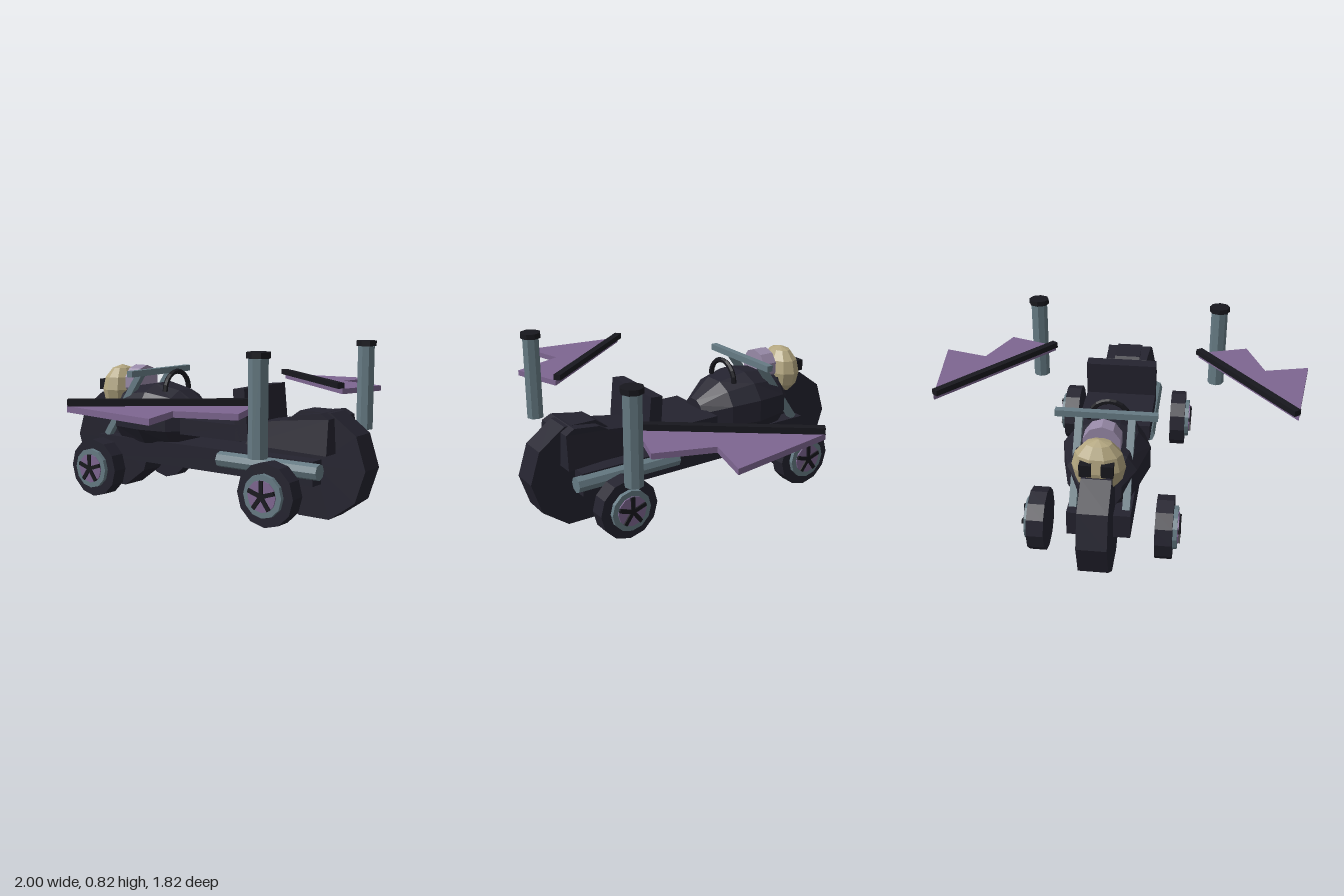
import * as THREE from 'three';

const mat = (name, color) => {
  const m = new THREE.MeshStandardMaterial({ color, flatShading: true });
  m.name = name;
  return m;
};

export function createModel() {
  const group = new THREE.Group();
  const black = mat('body black', 0x24232f);
  const dark = mat('trim black', 0x18181e);
  const steel = mat('blue steel', 0x667b84);
  const purple = mat('wing purple', 0x7e6691);
  const lilac = mat('lamp lilac', 0x988aa8);
  const bone = mat('bone', 0xb3a680);

  const add = (name, geo, material, x = 0, y = 0, z = 0, parent = group) => {
    const m = new THREE.Mesh(geo, material);
    m.name = name;
    m.position.set(x, y, z);
    parent.add(m);
    return m;
  };
  const box = (w, h, d) => new THREE.BoxGeometry(w, h, d);
  const cyl = (r, h, n) => new THREE.CylinderGeometry(r, r, h, n);
  const axle = (r, w, n) => cyl(r, w, n).rotateZ(Math.PI / 2);
  // box or rod stretched between two points, long side along local y
  const between = (name, geo, material, a, b) => {
    const m = add(name, geo, material);
    m.position.copy(a).lerp(b, 0.5);
    m.quaternion.setFromUnitVectors(new THREE.Vector3(0, 1, 0), b.clone().sub(a).normalize());
    return m;
  };
  // side outline given as [z, y], extruded across x
  const sideExtrude = (pts, width) =>
    new THREE.ExtrudeGeometry(new THREE.Shape(pts.map(p => new THREE.Vector2(...p))), { depth: width, bevelEnabled: false })
      .translate(0, 0, -width / 2).rotateY(-Math.PI / 2);

  // main wheels and chassis
  for (const s of [1, -1])
    add(s > 0 ? 'frontMainWheel' : 'rearMainWheel', axle(0.268, 0.14, 10), black, 0, 0.268, s * 0.642);
  add('chassis', box(0.3, 0.12, 1.36), black, 0, 0.24, 0);
  add('seat', box(0.37, 0.08, 0.37), black, 0, 0.4, 0.105);
  add('backrest', sideExtrude([[0.34, 0.37], [0.265, 0.36], [0.25, 0.615], [0.315, 0.62]], 0.37), black);

  // fender widening toward its end
  const fender = sideExtrude([[0.755, 0.335], [0.27, 0.335], [0.34, 0.45], [0.51, 0.475], [0.56, 0.505], [0.7, 0.525], [0.745, 0.5]], 2);
  const fp = fender.attributes.position;
  for (let i = 0; i < fp.count; i++) {
    const t = (fp.getZ(i) - 0.34) / 0.415;
    fp.setX(i, fp.getX(i) * (0.115 + 0.045 * t) * (fp.getY(i) > 0.4 ? 0.8 : 1));
  }
  fender.computeVertexNormals();
  add('fender', fender, black);

  // tank lofted from chamfered rings: [z, half width, bottom, top]
  const rings = [[-0.06, 0.08, 0.33, 0.48], [-0.19, 0.17, 0.29, 0.565], [-0.34, 0.212, 0.285, 0.595],
    [-0.53, 0.165, 0.29, 0.565], [-0.61, 0.1, 0.32, 0.47]];
  const half = [[0.75, 0], [1, 0.25], [1, 0.62], [0.72, 0.87], [0.3, 1]];
  const section = [...half, ...half.map(([x, y]) => [-x, y]).reverse()];
  const n = section.length;
  const verts = [], index = [];
  for (const [z, w, lo, hi] of rings)
    for (const [x, y] of section) verts.push(x * w, lo + y * (hi - lo), z);
  for (let r = 0; r < rings.length - 1; r++)
    for (let i = 0; i < n; i++) {
      const a = r * n + i, b = r * n + (i + 1) % n;
      index.push(a, a + n, b, b, a + n, b + n);
    }
  const last = (rings.length - 1) * n;
  for (let i = 1; i < n - 1; i++) index.push(0, i, i + 1, last, last + i + 1, last + i);
  const tank = new THREE.BufferGeometry();
  tank.setAttribute('position', new THREE.Float32BufferAttribute(verts, 3));
  tank.setIndex(index);
  tank.computeVertexNormals();
  add('tank', tank, black);
  add('tankHandle', new THREE.TorusGeometry(0.1, 0.014, 6, 10, Math.PI), dark, 0, 0.56, -0.245);

  // steering and lamp
  add('handlebar', box(0.49, 0.032, 0.035), steel, 0, 0.655, -0.365);
  add('lamp', cyl(0.092, 0.08, 10).rotateX(Math.PI / 2), lilac, 0, 0.59, -0.495);

  // skull ornament
  add('skull', new THREE.SphereGeometry(1, 10, 6).scale(0.125, 0.135, 0.09), bone, 0, 0.543, -0.635);
  add('jaw', box(0.13, 0.09, 0.11), bone, 0, 0.435, -0.675);

  for (const s of [1, -1]) {
    const side = s > 0 ? 'left' : 'right';
    add(side + 'Eye', box(0.055, 0.058, 0.045), dark, s * 0.05, 0.567, -0.712);
    between(side + 'Fork', box(0.035, 0.42, 0.035), steel,
      new THREE.Vector3(s * 0.125, 0.645, -0.39), new THREE.Vector3(s * 0.125, 0.3, -0.63));

    // exhausts
    add(side + 'Exhaust', cyl(0.04, 0.57, 8).rotateX(Math.PI / 2), steel, s * 0.155, 0.255, 0.435);
    add(side + 'Stack', cyl(0.045, 0.435, 8), steel, s * 0.507, 0.583, 0.61);
    add(side + 'StackCap', cyl(0.055, 0.027, 8), dark, s * 0.507, 0.815, 0.61);

    // wing: membrane with a leading bar
    const outline = [[0.405, 0.53], [0.67, 0.62], [0.767, 0.347], [0.998, 0.41], [0.918, -0.135]];
    const membrane = new THREE.ExtrudeGeometry(
      new THREE.Shape(outline.map(([x, z]) => new THREE.Vector2(s * x, -z))), { depth: 0.028, bevelEnabled: false });
    add(side + 'Wing', membrane.rotateX(-Math.PI / 2), purple, 0, 0.552, 0);
    const bar = add(side + 'WingBar', box(0.038, 0.03, 0.83), dark, s * 0.658, 0.595, 0.192);
    bar.rotation.y = Math.atan2(-s * 0.51, 0.665);

    // floating outrigger wheels
    for (const z of [0.54, -0.54]) {
      const wheel = new THREE.Group();
      wheel.name = side + (z > 0 ? 'Front' : 'Rear') + 'SideWheel';
      wheel.position.set(s * 0.303, 0.157, z);
      group.add(wheel);
      add('tire', axle(0.153, 0.082, 12), black, 0, 0, 0, wheel);
      add('rim', axle(0.104, 0.022, 12), steel, s * 0.051, 0, 0, wheel);
      add('hubDisc', axle(0.076, 0.008, 12), purple, s * 0.064, 0, 0, wheel);
      for (let i = 0; i < 5; i++) {
        const spoke = add('spoke', box(0.012, 0.074, 0.02).translate(0, 0.037, 0), dark, s * 0.07, 0, 0, wheel);
        spoke.rotation.x = i * Math.PI * 0.4;
      }
    }
  }
  return group;
}
